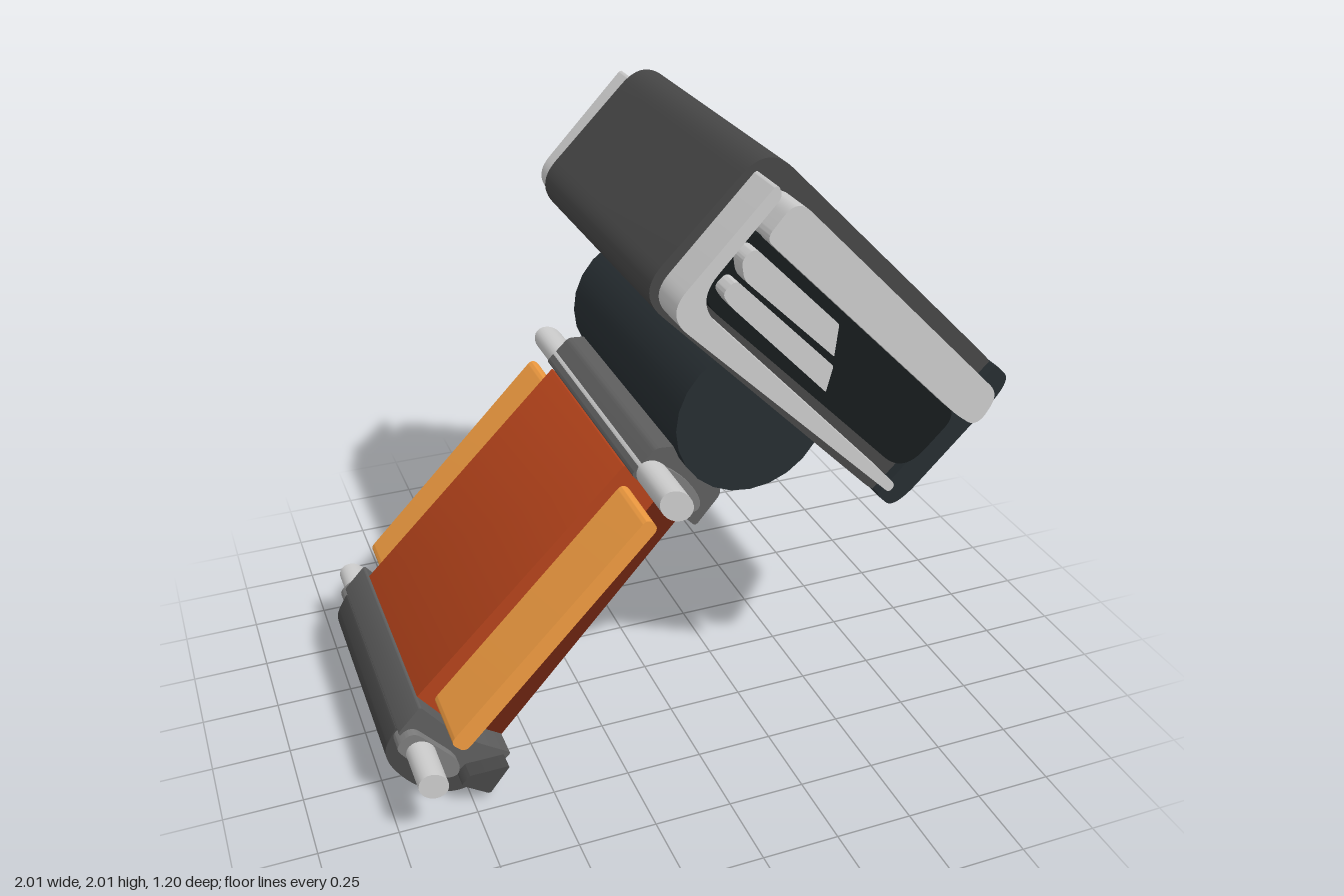
import * as THREE from 'three';
import { toCreasedNormals } from 'three/addons/utils/BufferGeometryUtils.js';

const LIGHT = 0xcccccc, GREY = 0x7c7c7c, MID = 0x5e5e5e, DARK = 0x464646;
const BLUE = 0x262d31, BLACK = 0x171c1d;
const RUST = 0xb4431b, BROWN = 0x69220f, GOLD = 0xee9a40;

// Closed outline with softened corners; a point may carry its own radius as a third value
function outline(points, radius = 0.02) {
  const shape = new THREE.Shape();
  const n = points.length;
  points.forEach((p, i) => {
    const c = new THREE.Vector2(p[0], p[1]);
    const [a, b] = [points[(i + n - 1) % n], points[(i + 1) % n]].map((q) => {
      const d = new THREE.Vector2(q[0], q[1]).sub(c);
      const r = Math.min(p[2] ?? radius, d.length() * 0.48);
      return d.normalize().multiplyScalar(r).add(c);
    });
    if (i === 0) shape.moveTo(a.x, a.y);
    else shape.lineTo(a.x, a.y);
    shape.quadraticCurveTo(c.x, c.y, b.x, b.y);
  });
  shape.closePath();
  return shape;
}

// Rectangle tilted by 45 degrees: u = x + y, v = y - x
function tilted(u0, u1, v0, v1, radii) {
  const corners = [[u0, v0], [u1, v0], [u1, v1], [u0, v1]];
  return outline(corners.map(([u, v], i) => [(u - v) / 2, (u + v) / 2, radii[i]]));
}

function oval(x, y, a, b, angle = -Math.PI / 4) {
  return new THREE.Shape().absellipse(x, y, a, b, 0, Math.PI * 2, false, angle);
}

export function createModel() {
  const group = new THREE.Group();

  // Adds an outline extruded equally to both sides of z = 0
  function slab(name, shape, half, color) {
    const geometry = new THREE.ExtrudeGeometry(shape, { depth: half * 2, bevelEnabled: false, curveSegments: 12 });
    geometry.translate(0, 0, -half);
    const mesh = new THREE.Mesh(toCreasedNormals(geometry, 0.5), new THREE.MeshStandardMaterial({ color }));
    mesh.name = name;
    group.add(mesh);
  }

  // Head block, striking end and the round hub underneath
  slab('headBlock', tilted(1.45, 2.22, 0.18, 1.86, [0.11, 0.11, 0.11, 0.11]), 0.47, DARK);
  slab('strikingEnd', tilted(1.45, 2.22, 0.15, 0.28, [0.11, 0.11, 0.01, 0.01]), 0.505, BLUE);
  slab('hub', oval(0.165, 1.2, 0.245, 0.245), 0.465, BLUE);

  // Recessed panel, with the thick bar and two fingers standing out of it
  slab('headPanel', tilted(1.6, 1.95, 0.3, 1.72, [0.1, 0.06, 0.06, 0.1]), 0.54, BLACK);
  slab('headBar', outline([
    [0.21, 1.925, 0.06], [0.925, 1.205, 0.05], [0.86, 1.1, 0.06], [0.78, 1.16], [0.12, 1.82],
  ], 0.03), 0.6, LIGHT);
  slab('upperFinger', outline([
    [0.05, 1.77], [0.09, 1.8], [0.36, 1.53, 0.005], [0.35, 1.43, 0.005], [0.06, 1.71],
  ]), 0.6, LIGHT);
  slab('lowerFinger', outline([
    [-0.005, 1.68], [0.035, 1.715], [0.35, 1.4, 0.005], [0.33, 1.32, 0.005], [0.02, 1.64],
  ]), 0.6, LIGHT);

  // Bent trim strip along the back corner of the head
  slab('headTrim', outline([
    [0.15, 1.975], [0.165, 1.935], [-0.085, 1.665, 0.1], [0.59, 0.955], [0.57, 0.93], [-0.17, 1.64, 0.09],
  ]), 0.6, LIGHT);

  // Neck collar
  slab('collar', outline([
    [-0.2, 1.05], [-0.12, 1.125], [-0.06, 1.12], [0.09, 1.0], [0.09, 0.92], [0.01, 0.825],
  ], 0.015), 0.41, MID);
  slab('collarPlate', oval(-0.08, 0.985, 0.13, 0.05), 0.425, GREY);
  slab('collarPin', oval(-0.13, 1.035, 0.06, 0.045), 0.6, LIGHT);

  // Grip: broad upper part, narrower underside and the raised side strips
  slab('grip', outline([
    [-0.2, 1.05], [-0.085, 0.925], [-0.745, 0.18], [-0.885, 0.37],
  ], 0.005), 0.35, RUST);
  slab('gripUnderside', outline([
    [-0.1, 0.94], [0.015, 0.83], [-0.615, 0.12], [-0.755, 0.19],
  ], 0.005), 0.315, BROWN);
  slab('gripStrip', outline([
    [-0.835, 0.345], [-0.205, 0.99], [-0.17, 0.95], [-0.79, 0.3],
  ], 0.025), 0.565, GOLD);

  // End cap of the grip
  slab('pommel', outline([
    [-0.96, 0.3, 0.01], [-1.015, 0.2, 0.1], [-0.92, 0.05, 0.1], [-0.78, -0.02, 0.1], [-0.68, 0.04], [-0.75, 0.15],
  ]), 0.38, DARK);
  slab('pommelBand', outline([
    [-0.885, 0.38], [-0.96, 0.3], [-0.86, 0.14, 0.08], [-0.69, 0.04], [-0.61, 0.12], [-0.76, 0.22, 0.08],
  ], 0.01), 0.41, MID);
  slab('pommelPlate', outline([
    [-0.98, 0.27, 0.03], [-0.92, 0.32, 0.04], [-0.78, 0.16, 0.05], [-0.79, 0.1, 0.04], [-0.87, 0.12, 0.04],
  ]), 0.44, GREY);
  slab('pommelLug', outline([
    [-0.79, 0.09], [-0.76, 0.12], [-0.63, 0.12], [-0.7, 0.03],
  ], 0.01), 0.47, DARK);
  slab('pommelPin', oval(-0.9, 0.23, 0.05, 0.042), 0.6, LIGHT);

  return group;
}
